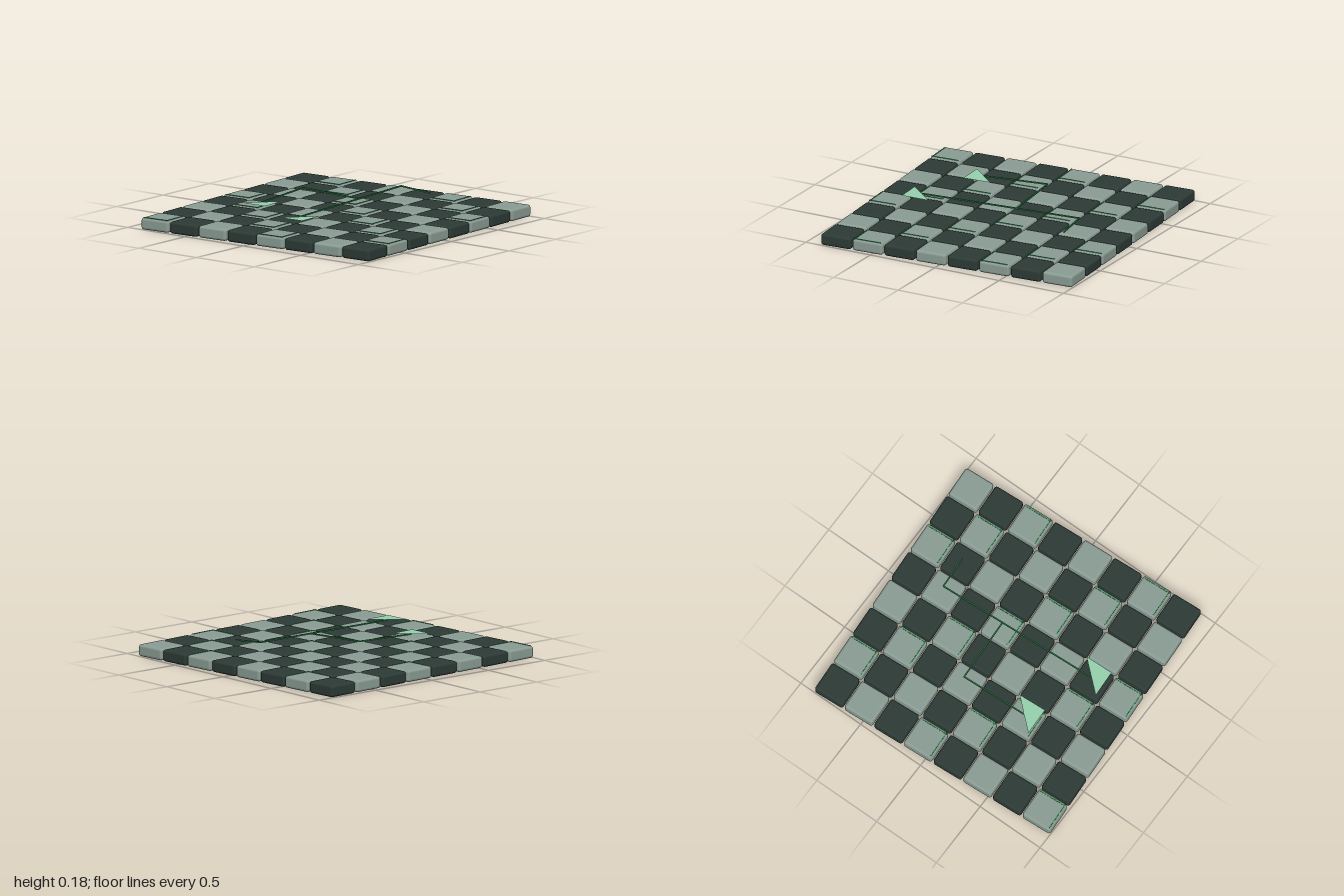
import * as THREE from 'three';
import { RoundedBoxGeometry } from 'three/addons/geometries/RoundedBoxGeometry.js';

const material = (name, color, side = THREE.FrontSide) => {
  const m = new THREE.MeshStandardMaterial({ color, side });
  m.name = name;
  return m;
};

const PITCH = 0.238, TILE = 0.224, HEIGHT = 0.082;

export function createModel() {
  const model = new THREE.Group();
  model.name = 'checkeredBoard';

  const dark = material('dark green tile', 0x2c3a35);
  const light = material('grey green tile', 0x8a9c94);
  const line = material('line green', 0x2a7442);
  const dash = material('dash green', 0x35a45a);
  const mint = material('mint arrow', 0x96d2ae, THREE.DoubleSide);

  const add = (parent, name, geometry, mat, x = 0, y = 0, z = 0) => {
    const mesh = new THREE.Mesh(geometry, mat);
    mesh.name = name;
    mesh.position.set(x, y, z);
    parent.add(mesh);
    return mesh;
  };

  // Tiles, turned slightly on the ground plane
  const board = new THREE.Group();
  board.name = 'board';
  board.rotation.y = THREE.MathUtils.degToRad(3.4);
  model.add(board);

  const tileGeo = new RoundedBoxGeometry(TILE, HEIGHT, TILE, 3, 0.018);
  const dashX = new THREE.BoxGeometry(0.02, 0.004, 0.006);
  const dashZ = new THREE.BoxGeometry(0.006, 0.004, 0.02);

  for (let r = 0; r < 8; r++) {
    for (let c = 0; c < 8; c++) {
      const x = (c - 3.5) * PITCH, z = (r - 3.5) * PITCH;
      add(board, 'tile', tileGeo, (r + c) % 2 ? light : dark, x, HEIGHT / 2, z);

      // Dashed corner trim on every fourth tile along the diagonals
      if ((c - r + 8) % 4 !== 1) continue;
      const trim = new THREE.Group();
      trim.name = 'dashedTrim';
      trim.position.set(x, HEIGHT + 0.001, z);
      board.add(trim);
      for (let i = 0; i < 10; i++) {
        const t = -0.086 + i * 0.02;
        const mat = i % 2 ? line : dash;
        add(trim, 'frontDash', dashX, mat, t, 0, 0.097);
        add(trim, 'sideDash', dashZ, mat, 0.095, 0, t);
      }
    }
  }

  // Floating bent arrows: thin square rods ending in a flat triangle
  const arrow = (name, points, tri, y) => {
    const group = new THREE.Group();
    group.name = name;
    model.add(group);
    const pts = points.map((p) => new THREE.Vector3(...p));
    for (let i = 1; i < pts.length; i++) {
      const a = pts[i - 1], b = pts[i];
      const rod = add(group, 'arrowLine', new THREE.BoxGeometry(0.009, 0.009, a.distanceTo(b)), line);
      rod.position.copy(a).lerp(b, 0.5);
      rod.lookAt(b);
    }
    const shape = new THREE.Shape(tri.map(([x, z]) => new THREE.Vector2(x, -z)));
    const head = add(group, 'arrowHead', new THREE.ShapeGeometry(shape), mint, 0, y, 0);
    head.rotation.x = -Math.PI / 2;
  };

  arrow('longArrow',
    [[0.32, 0.15, -0.615], [0.08, 0.17, -0.6], [0.147, 0.152, 0.58]],
    [[0.06, 0.69], [0.255, 0.68], [0.248, 0.475]], 0.155);
  arrow('shortArrow',
    [[0.11, 0.16, -0.125], [-0.365, 0.18, -0.1], [-0.337, 0.16, 0.38]],
    [[-0.43, 0.485], [-0.23, 0.478], [-0.242, 0.275]], 0.162);

  return model;
}
